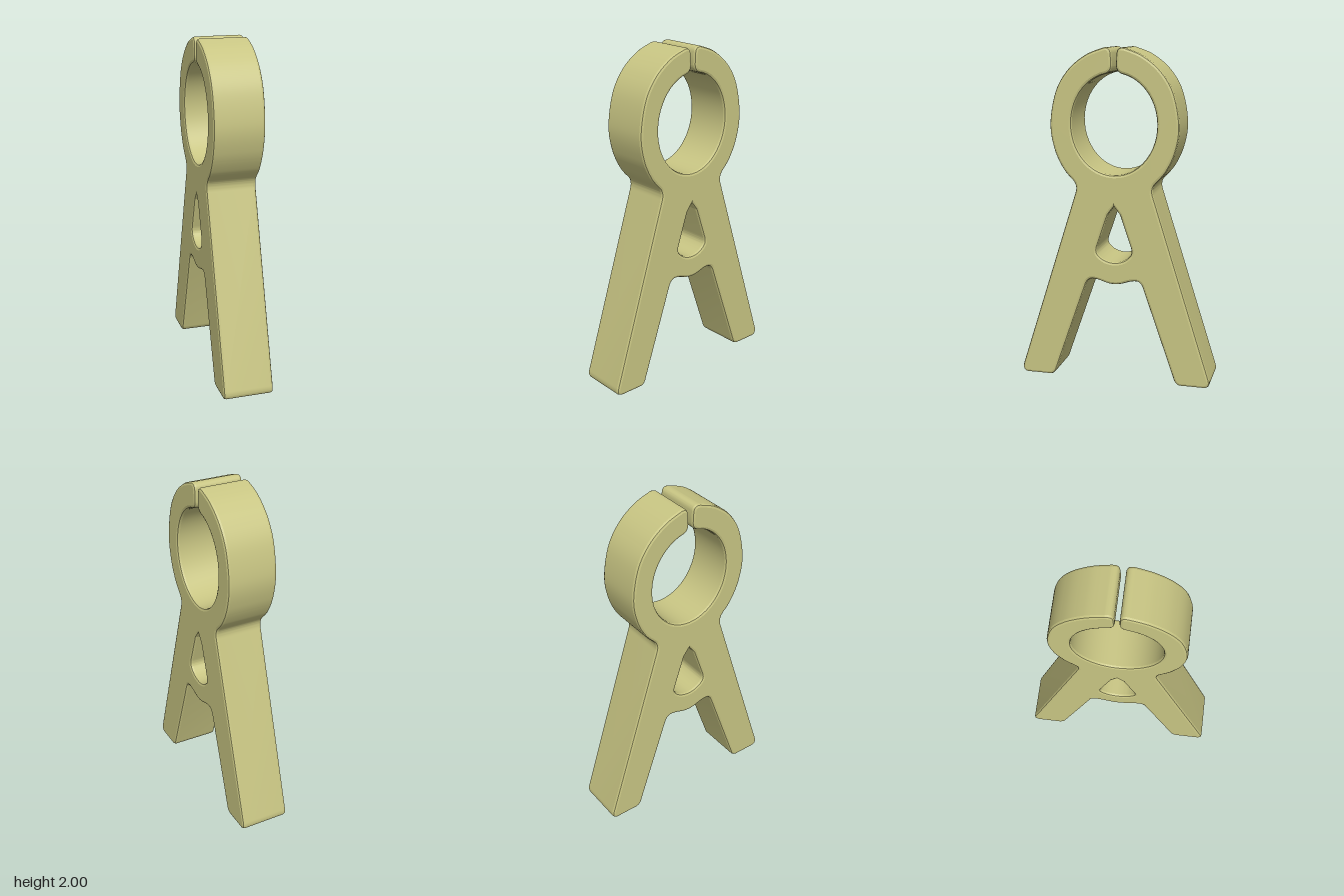
import * as THREE from 'three';
import { toCreasedNormals } from 'three/addons/utils/BufferGeometryUtils.js';

const WIDTH = 0.3;
const BEVEL = 0.016;

// Completes a half outline that starts and ends on the centre line
function mirrored(half) {
  const other = half.slice(1, -1).reverse().map(p => new THREE.Vector2(-p.x, p.y));
  return [...half, ...other];
}

const vectors = list => list.map(([x, y]) => new THREE.Vector2(x, y));

export function createModel() {
  const group = new THREE.Group();
  group.name = 'clothespin';

  // Half of the body: crossbar underside, leg, outer ring, jaw tip, ring bore
  const body = new THREE.Path();
  body.moveTo(0, 0.605);
  body.bezierCurveTo(0.06, 0.605, 0.08, 0.632, 0.135, 0.632);
  body.quadraticCurveTo(0.162, 0.63, 0.175, 0.595);
  body.lineTo(0.366, 0.045);
  body.quadraticCurveTo(0.376, 0.003, 0.41, 0);
  body.lineTo(0.55, 0);
  body.quadraticCurveTo(0.595, 0.003, 0.582, 0.055);
  body.lineTo(0.236, 1.15);
  body.quadraticCurveTo(0.222, 1.195, 0.25, 1.225);
  body.splineThru(vectors([
    [0.31, 1.295], [0.363, 1.41], [0.385, 1.56], [0.35, 1.745],
    [0.275, 1.87], [0.17, 1.955], [0.065, 1.997],
  ]));
  body.quadraticCurveTo(0.018, 2.008, 0.015, 1.96);
  body.lineTo(0.012, 1.9);
  body.quadraticCurveTo(0.014, 1.862, 0.045, 1.851);
  body.absellipse(0, 1.56, 0.255, 0.295, 1.39, -Math.PI / 2, true);
  const shape = new THREE.Shape(mirrored(body.getPoints(12)));

  // Teardrop opening between the legs
  const opening = new THREE.Path();
  opening.moveTo(0, 0.74);
  opening.bezierCurveTo(0.045, 0.742, 0.075, 0.758, 0.098, 0.785);
  opening.quadraticCurveTo(0.112, 0.803, 0.102, 0.835);
  opening.lineTo(0.036, 1.03);
  opening.lineTo(0, 1.078);
  shape.holes.push(new THREE.Path(mirrored(opening.getPoints(12))));

  // Extrude across the width with softened edges, then turn the profile sideways
  const geometry = new THREE.ExtrudeGeometry(shape, {
    depth: WIDTH - 2 * BEVEL,
    bevelEnabled: true,
    bevelThickness: BEVEL,
    bevelSize: BEVEL,
    bevelOffset: -BEVEL,
    bevelSegments: 2,
  });
  geometry.translate(0, 0, BEVEL - WIDTH / 2);
  geometry.rotateY(Math.PI / 2);

  const material = new THREE.MeshStandardMaterial({ color: 0xc8c583 });
  const mesh = new THREE.Mesh(toCreasedNormals(geometry, 0.22), material);
  mesh.name = 'clipBody';
  group.add(mesh);
  return group;
}
